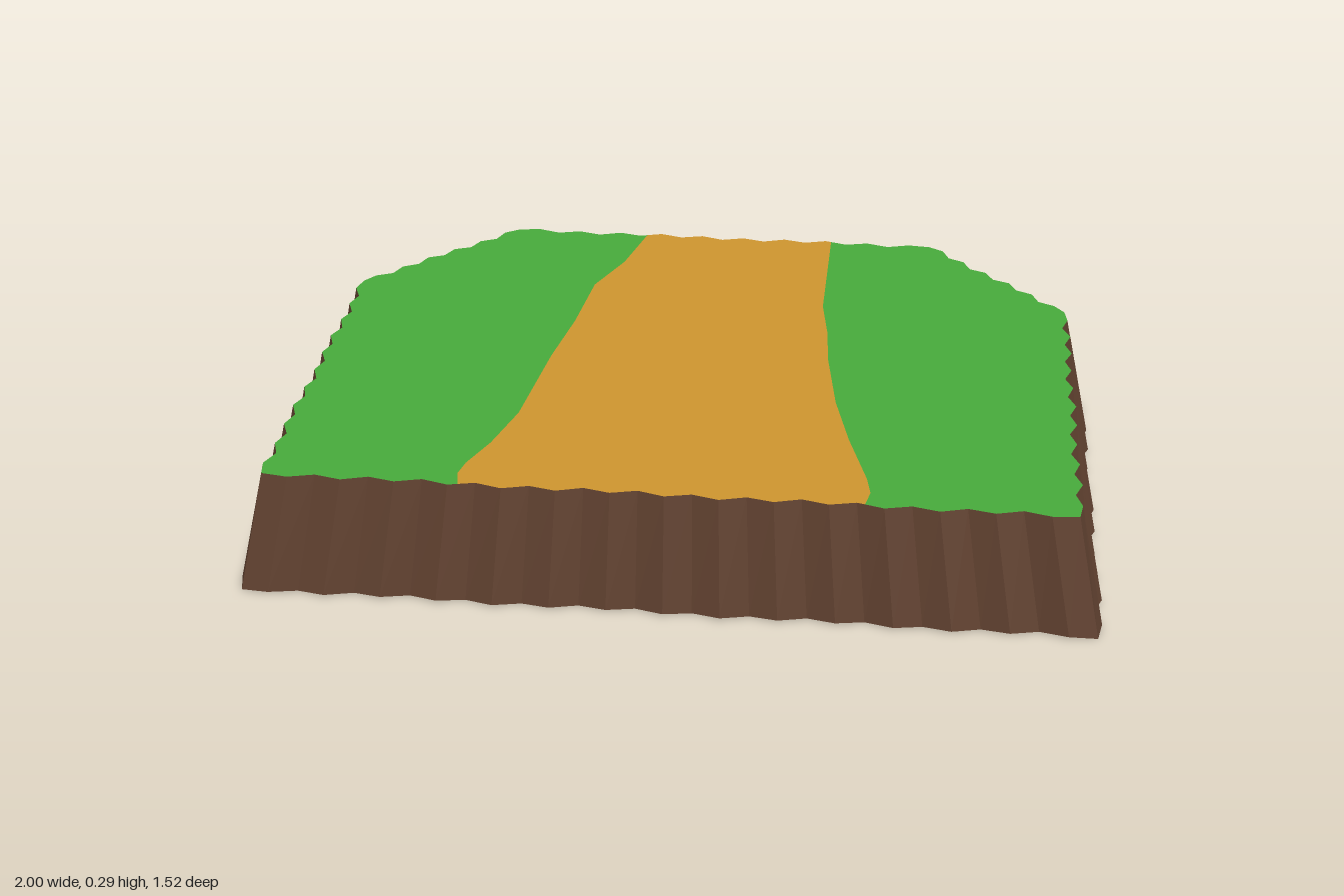
import * as THREE from 'three';

const TOP = 0.29;
const soil = new THREE.MeshStandardMaterial({ name: 'soil brown', color: 0x5f402f, flatShading: true });
const grass = new THREE.MeshStandardMaterial({ name: 'grass green', color: 0x47a93b, flatShading: true });
const sand = new THREE.MeshStandardMaterial({ name: 'path ochre', color: 0xcc942e, flatShading: true });

// Number of ripple steps: front, right, right bevel, back, left bevel, left
const STEPS = [30, 22, 12, 20, 12, 22];
const BASE = [[-0.985, 0.74], [0.985, 0.74], [0.985, -0.37], [0.6, -0.75], [-0.6, -0.75], [-0.985, -0.37]];
const RIM = [[-0.925, 0.695], [0.925, 0.695], [0.925, -0.33], [0.57, -0.7], [-0.57, -0.7], [-0.925, -0.33]];

// Zigzag outline of [x, z] points, kept side by side, anticlockwise from above
function rippledSides(corners, amp) {
  return corners.map(([ax, az], s) => {
    const [bx, bz] = corners[(s + 1) % corners.length];
    const len = Math.hypot(bx - ax, bz - az);
    const nx = -(bz - az) / len, nz = (bx - ax) / len;
    const points = [];
    for (let i = 0; i < STEPS[s]; i++) {
      const t = i / STEPS[s];
      const wave = i === 0 ? 0 : amp * (i % 2 ? 1 : -1) * (0.75 + 0.25 * Math.sin(i * 2.3 + s));
      points.push([ax + (bx - ax) * t + nx * wave, az + (bz - az) * t + nz * wave]);
    }
    return points;
  });
}

// Height z of a side's zigzag at a given x
function zAt(points, x) {
  for (let i = 0; i + 1 < points.length; i++) {
    const [ax, az] = points[i], [bx, bz] = points[i + 1];
    if ((x - ax) * (x - bx) <= 0) return az + (bz - az) * (x - ax) / (bx - ax);
  }
  return points[0][1];
}

function flatPiece(name, points, material) {
  const shape = new THREE.Shape(points.map(([x, z]) => new THREE.Vector2(x, -z)));
  const mesh = new THREE.Mesh(new THREE.ShapeGeometry(shape).rotateX(-Math.PI / 2), material);
  mesh.position.y = TOP;
  mesh.name = name;
  return mesh;
}

function surface(name, positions) {
  const geometry = new THREE.BufferGeometry();
  geometry.setAttribute('position', new THREE.Float32BufferAttribute(positions, 3));
  geometry.computeVertexNormals();
  const mesh = new THREE.Mesh(geometry, soil);
  mesh.name = name;
  return mesh;
}

export function createModel() {
  const group = new THREE.Group();
  group.name = 'groundTile';
  const rimSides = rippledSides(RIM, 0.011);
  const rim = rimSides.flat();
  const base = rippledSides(BASE, 0.015).flat();
  const n = rim.length;

  // Sloping rippled walls and underside
  const low = base.map(([x, z], i) => [x, i % 2 ? 0.006 : 0, z]);
  const high = rim.map(([x, z]) => [x, TOP, z]);
  const walls = [], underside = [];
  for (let i = 0; i < n; i++) {
    const j = (i + 1) % n;
    walls.push(...low[i], ...low[j], ...high[j], ...low[i], ...high[j], ...high[i]);
    underside.push(0, 0.004, 0, ...low[j], ...low[i]);
  }
  group.add(surface('soilWalls', walls), surface('soilUnderside', underside));

  // Path borders, listed from back to front
  const leftBorder = [[-0.21, -0.7], [-0.25, -0.52], [-0.31, -0.37], [-0.33, -0.15], [-0.36, 0.05],
    [-0.39, 0.35], [-0.43, 0.5], [-0.47, 0.6], [-0.48, 0.65], [-0.47, 0.69]];
  const rightBorder = [[0.3, -0.7], [0.3, -0.3], [0.32, -0.15], [0.33, 0], [0.36, 0.22],
    [0.4, 0.4], [0.45, 0.58], [0.46, 0.64], [0.45, 0.69]];
  const [front, right, rightBevel, back, leftBevel, left] = rimSides;
  for (const border of [leftBorder, rightBorder]) {
    border[0][1] = zAt(back, border[0][0]);
    const end = border[border.length - 1];
    end[1] = zAt(front, end[0]);
  }
  const between = (side, a, b) => side.filter(([x]) => x > a && x < b);
  const leftUp = [...leftBorder].reverse(), rightUp = [...rightBorder].reverse();

  // Top surface: path between two lawns
  group.add(
    flatPiece('path', [...leftBorder, ...between(front, -0.47, 0.45), ...rightUp, ...between(back, -0.21, 0.3)], sand),
    flatPiece('leftGrass', [...rightBorder, ...between(front, 0.45, 2), ...right, ...rightBevel, ...between(back, 0.3, 2)], grass),
    flatPiece('rightGrass', [...leftUp, ...between(back, -2, -0.21), ...leftBevel, ...left, ...between(front, -2, -0.47)], grass),
  );
  return group;
}
